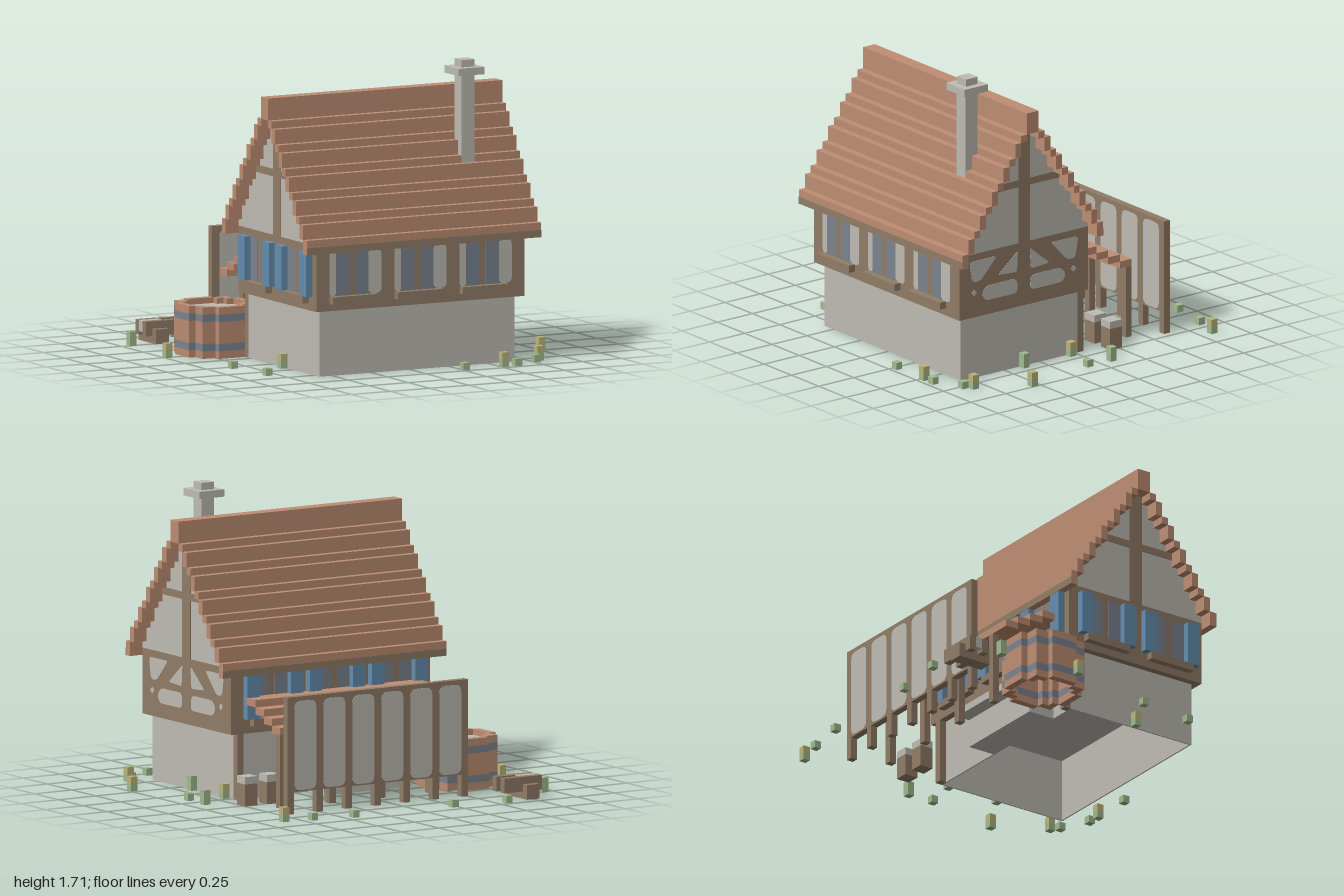
import * as THREE from 'three';

const paint = (name, color) => Object.assign(new THREE.MeshStandardMaterial({ color }), { name });
const M = {
  stone: paint('pale plaster', 0xbfbcb3),
  timber: paint('timber brown', 0x927d67),
  roof: paint('roof clay', 0xbe8e73),
  glass: paint('window grey', 0x7c8490),
  shutter: paint('shutter blue', 0x648eb0),
  grass: paint('grass green', 0xa2ba8e),
  straw: paint('straw yellow', 0xbcb678),
};

// Box given by its two corners, in block units
function box(parent, name, mat, x0, x1, y0, y1, z0, z1) {
  const m = new THREE.Mesh(new THREE.BoxGeometry(x1 - x0, y1 - y0, z1 - z0), mat);
  m.position.set((x0 + x1) / 2, (y0 + y1) / 2, (z0 + z1) / 2);
  m.name = name;
  parent.add(m);
}

function group(parent, name) {
  const g = new THREE.Group();
  g.name = name;
  parent.add(g);
  return g;
}

// Thin plate with rounded corners, facing local +z
function plate(parent, name, mat, points, round = 0.6) {
  const s = new THREE.Shape();
  const p = points.map(q => new THREE.Vector2(...q));
  p.forEach((c, i) => {
    const a = p[(i + p.length - 1) % p.length], b = p[(i + 1) % p.length];
    const r = Math.min(round, a.distanceTo(c) / 2, b.distanceTo(c) / 2);
    const from = c.clone().add(a.clone().sub(c).setLength(r));
    const to = c.clone().add(b.clone().sub(c).setLength(r));
    if (i) s.lineTo(from.x, from.y); else s.moveTo(from.x, from.y);
    s.quadraticCurveTo(c.x, c.y, to.x, to.y);
  });
  s.closePath();
  const m = new THREE.Mesh(new THREE.ExtrudeGeometry(s, { depth: 0.05, bevelEnabled: false, curveSegments: 4 }), mat);
  m.name = name;
  parent.add(m);
}

const rect = (u0, u1, y0, y1) => [[u0, y0], [u1, y0], [u1, y1], [u0, y1]];

// Window centred on u, with a sill and either plaster strips or shutters
function addWindow(wall, u, shutters) {
  const w = group(wall, 'window');
  w.position.x = u;
  for (const s of [-1, 1]) {
    box(w, 'pane', M.glass, s * 1.5 - 1, s * 1.5 + 1, 11, 17, 0, 0.05);
    if (shutters) box(w, 'shutter', M.shutter, s * 3.5 - 1, s * 3.5 + 1, 11, 17, 0, 1);
  }
  if (!shutters) {
    plate(w, 'plasterStrip', M.stone, rect(-3.5, -2.5, 11, 17), 0.5);
    plate(w, 'plasterStrip', M.stone, rect(2.5, 4.5, 11, 17), 0.8);
  }
  box(w, 'sill', M.timber, -3.5, 3.5, 10, 11, 0, 1);
}

// Stepped outline of a block disc, inset by k
function disc(k) {
  const a = 5 - k, b = 4 - k, c = 2;
  const q = [[a, c], [b, c], [b, b], [c, b], [c, a]];
  const turn = ([x, y], n) => [[x, y], [-y, x], [-x, -y], [y, -x]][n];
  return [0, 1, 2, 3].flatMap(n => q.map(p => new THREE.Vector2(...turn(p, n))));
}

// Hollow barrel with hoops and a sunken lid
function addBarrel(root) {
  const g = group(root, 'barrel');
  g.position.set(-16, 0, -6.5);
  const slab = (name, mat, y0, y1, lid) => {
    const s = new THREE.Shape(disc(lid ? 1 : 0));
    if (!lid) s.holes.push(new THREE.Path(disc(1)));
    const geo = new THREE.ExtrudeGeometry(s, { depth: y1 - y0, bevelEnabled: false });
    const m = new THREE.Mesh(geo.rotateX(-Math.PI / 2), mat);
    m.position.y = y0;
    m.name = name;
    g.add(m);
  };
  slab('barrelFoot', M.roof, 0, 1);
  slab('lowerHoop', M.glass, 1, 2);
  slab('barrelBody', M.roof, 2, 5);
  slab('upperHoop', M.glass, 5, 6);
  slab('barrelRim', M.roof, 6, 7);
  slab('barrelLid', M.stone, 6, 6.2, true);
}

function addRoof(root) {
  const g = group(root, 'roof');
  const tops = [19, 21, 22, 24, 25, 27, 28, 30, 31, 33, 34];
  tops.forEach((t, i) => {
    const under = i ? tops[i - 1] : 17;
    for (const s of [-1, 1]) {
      const z = 9.5 + s * (11.5 - i);
      box(g, 'tileRow', M.roof, -17, 19, under, t, z - 0.5, z + 0.5);
      if (i) box(g, 'gableWall', M.stone, -15, 17, 18, under, z - 0.5, z + 0.5);
      else box(g, 'eaveTrim', M.timber, -17, 19, 17, 18, z + s * 0.5 - 0.05, z + s * 0.5 + 0.05);
    }
  });
  box(g, 'gableWall', M.stone, -15, 17, 18, 34, 8.5, 10.5);
  box(g, 'ridge', M.roof, -17, 19, 34, 37, 8.5, 10.5);
  for (const [x0, x1] of [[17, 17.1], [-15.1, -15]]) {
    box(g, 'gablePost', M.timber, x0, x1, 18, 34, 8.5, 10.5);
    box(g, 'gableBeam', M.timber, x0, x1, 26, 27, 3, 16);
  }
}

export function createModel() {
  const model = new THREE.Group();
  model.name = 'cottage';
  const root = group(model, 'blocks');
  root.scale.setScalar(1 / 24);

  // Ground floor: thin walls, open underneath
  const base = group(root, 'groundFloor');
  box(base, 'frontWall', M.stone, -14, 16, 0, 9, 19.3, 19.5);
  box(base, 'backWall', M.stone, -14, 16, 0, 9, -0.5, -0.3);
  box(base, 'leftWall', M.stone, 15.8, 16, 0, 9, -0.3, 19.3);
  box(base, 'rightWall', M.stone, -14, -13.8, 0, 9, -0.3, 19.3);
  box(base, 'ceiling', M.stone, -13.8, 15.8, 8.8, 9, -0.3, 19.3);
  for (const x of [-14, 15]) box(base, 'cornerPost', M.timber, x, x + 1, 0, 9, -1.5, -0.5);

  // Timber-framed upper storey
  const upper = group(root, 'upperStorey');
  box(upper, 'timberFrame', M.timber, -15, 17, 9, 18, -1.5, 20.5);
  const wall = (name, x, z, turn) => {
    const g = group(upper, name);
    g.position.set(x, 0, z);
    g.rotation.y = turn;
    return g;
  };
  const front = wall('frontWindows', 1, 20.5, 0);
  const back = wall('backWindows', 1, -1.5, Math.PI);
  for (const u of [-10, 0, 10]) {
    addWindow(front, u - 0.5, false);
    addWindow(back, u + 0.5, true);
  }
  const side = wall('sideWindows', -15, 9.5, -Math.PI / 2);
  for (const u of [-5, 5.5]) addWindow(side, u, true);

  // Plaster infill between the braces
  const infill = wall('plasterInfill', 17, 9.5, Math.PI / 2);
  for (const s of [-1, 1]) {
    const fix = pts => (s < 0 ? pts.map(([u, y]) => [-u, y]).reverse() : pts);
    plate(infill, 'outerPanel', M.stone, fix([[4.6, 17], [9.3, 17], [8.8, 14], [7.4, 14]]));
    plate(infill, 'bracePanel', M.stone, fix([[1, 17], [1.2, 14], [4.4, 14.2]]), 0.4);
    plate(infill, 'lowerPanel', M.stone, fix([[1, 11], [6.6, 11], [7.2, 12], [6.4, 13.1], [1.2, 13.1]]), 0.8);
    plate(infill, 'smallPanel', M.stone, fix([[8, 12.5], [8.5, 12], [9, 12.5], [8.5, 13]]), 0.1);
  }

  addRoof(root);

  const chimney = group(root, 'chimney');
  box(chimney, 'shaft', M.stone, 10, 12, 27, 39, 13.5, 15.55);
  box(chimney, 'cap', M.stone, 9, 13, 39, 40, 12.5, 16.5);
  box(chimney, 'capTop', M.stone, 10, 12, 40, 41, 13.5, 15.5);

  // Lean-to with its bench and stumps
  const lean = group(root, 'leanTo');
  for (let i = 0; i < 4; i++) {
    box(lean, 'leanToTiles', M.roof, -13, 15, 13 - i, 14 - i, -4.5 - 2 * i, (i ? -2.5 : -1.5) - 2 * i);
  }
  for (const x of [-10, -2, 6, 14]) box(lean, 'leanToPost', M.timber, x, x + 1, 0, 10, -10.5, -9.5);
  box(lean, 'stoneBench', M.stone, -10, 4, 0, 5, -4.5, -0.5);
  box(lean, 'benchTop', M.stone, -10, 4, 4, 5, -6.5, -4.5);
  for (const x of [16, 12.5]) {
    box(lean, 'stump', M.timber, x, x + 2, 0, 3, -6.5, -4.5);
    box(lean, 'stumpTop', M.stone, x, x + 2, 3, 4, -6.5, -4.5);
  }

  addBarrel(root);

  // Fence panels between posts
  const fence = group(root, 'fence');
  box(fence, 'fenceBoard', M.timber, -12, 17, 3, 16, -15.5, -14.5);
  const pitch = 28 / 6;
  for (let i = 0; i < 7; i++) {
    const x = -12 + i * pitch;
    box(fence, 'fencePost', M.timber, x, x + 1, 0, 3, -15.5, -14.5);
    if (i === 6) continue;
    for (const s of [-1, 1]) {
      const face = group(fence, 'fencePanel');
      face.position.set(x + 0.5 + pitch / 2, 0, -15 + s * 0.5);
      face.rotation.y = s < 0 ? Math.PI : 0;
      plate(face, 'panel', M.stone, rect(-1.75, 1.75, 3.2, 15.4), 1);
    }
  }

  // Log pile
  const logs = group(root, 'logPile');
  box(logs, 'crossLog', M.timber, -19, -17, 0, 2, -22.5, -17.5);
  for (const z of [-21.5, -19.5]) box(logs, 'log', M.timber, -20, -14, 1, 3, z, z + 1);
  box(logs, 'splitLog', M.stone, -20, -17, 1.5, 3, -20.5, -19.5);

  // Grass tufts: x, z, height, straw-topped
  const tufts = [
    [-22.5, -18, 2], [-13.5, -23, 1], [-5.5, -22, 1], [10.5, -22, 1], [16.5, -21, 1], [20.5, -20, 2, 1],
    [21.5, -2, 2], [21.5, 2, 1], [-23.5, -6, 2, 1], [-20.5, 7, 1], [-19.5, 15, 1], [23.5, 13, 2, 1],
    [19.5, 20, 2, 1], [6.5, 23, 1], [12.5, 23, 2, 1], [14.5, 23, 1], [16.5, 9, 2],
    [16.5, 1, 2, 1], [18.5, 21, 1], [-14.5, 10, 2, 1],
  ];
  for (const [x, z, h, straw] of tufts) {
    box(root, 'grassTuft', M.grass, x - 0.5, x + 0.5, 0, straw ? 1 : h, z - 0.5, z + 0.5);
    if (straw) box(root, 'strawTip', M.straw, x - 0.5, x + 0.5, 1, h, z - 0.5, z + 0.5);
  }
  return model;
}
